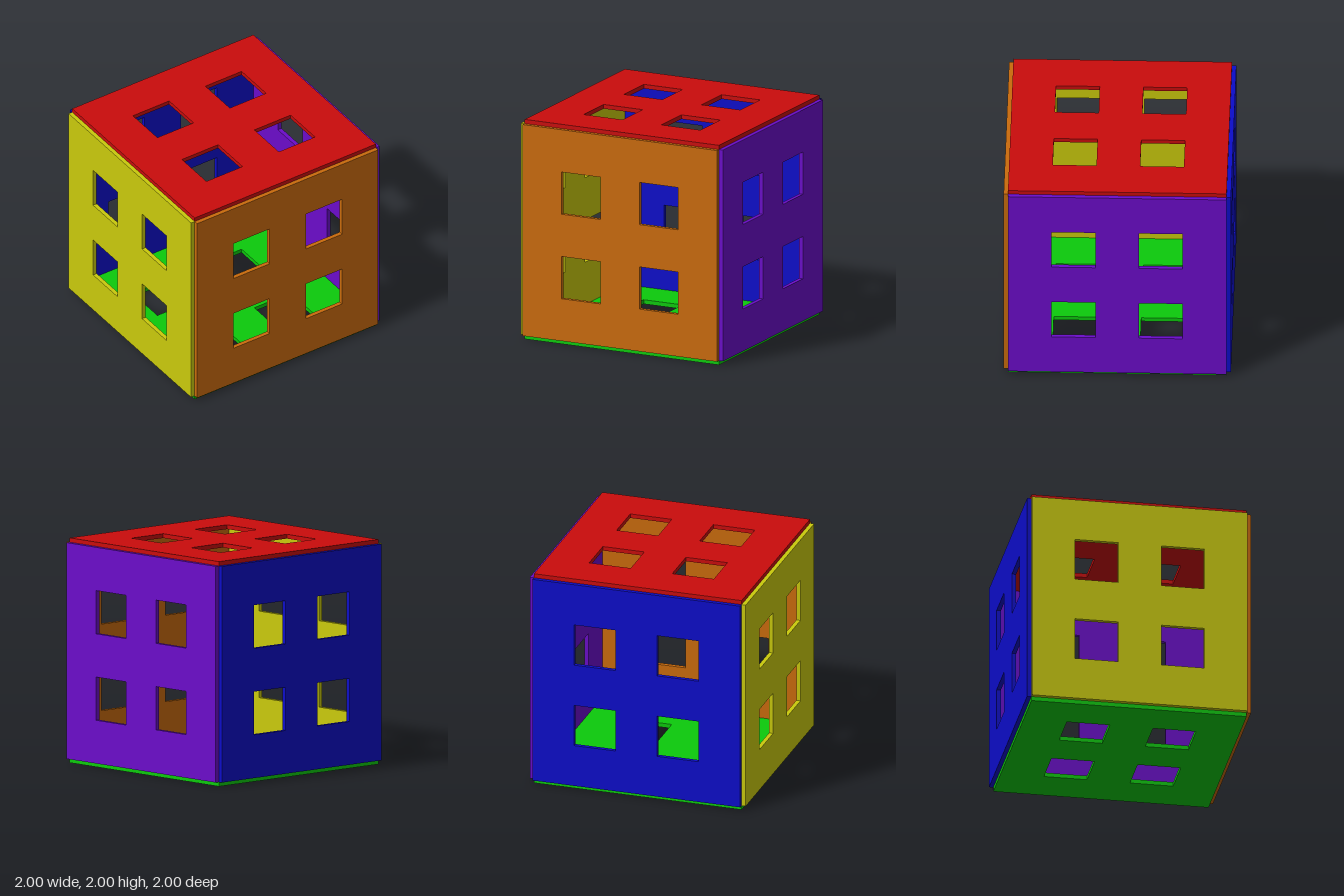
import * as THREE from 'three';

// The cube is laid out on a grid of 26 units from centre to outer face.
const U = 1 / 26;
const HALF = 25 * U;      // half width of a panel, and distance to its inner face
const HOLE_NEAR = 5 * U;  // hole edges, measured from the panel centre
const HOLE_FAR = 15 * U;

function rectangle(path, x0, y0, x1, y1) {
  path.moveTo(x0, y0);
  path.lineTo(x1, y0);
  path.lineTo(x1, y1);
  path.lineTo(x0, y1);
  path.closePath();
  return path;
}

// Square plate with four square holes, facing +z
function panelGeometry() {
  const shape = rectangle(new THREE.Shape(), -HALF, -HALF, HALF, HALF);
  const spans = [[-HOLE_FAR, -HOLE_NEAR], [HOLE_NEAR, HOLE_FAR]];
  for (const [x0, x1] of spans) {
    for (const [y0, y1] of spans) {
      shape.holes.push(rectangle(new THREE.Path(), x0, y0, x1, y1));
    }
  }
  const geometry = new THREE.ExtrudeGeometry(shape, { depth: U, bevelEnabled: false });
  return geometry.translate(0, 0, HALF);
}

export function createModel() {
  const model = new THREE.Group();
  model.name = 'perforatedCube';
  const geometry = panelGeometry();
  const q = Math.PI / 2;

  // name, colour name, colour, rotation about x, rotation about y
  const panels = [
    ['frontPanel', 'orange', 0xca6b0c, 0, 0],
    ['backPanel', 'blue', 0x0c0cca, 0, 2 * q],
    ['leftPanel', 'purple', 0x6b0cca, 0, q],
    ['rightPanel', 'yellow', 0xcaca0c, 0, -q],
    ['topPanel', 'red', 0xca0c0c, -q, 0],
    ['bottomPanel', 'green', 0x0cca0c, q, 0],
  ];

  for (const [name, colourName, color, rx, ry] of panels) {
    const material = new THREE.MeshStandardMaterial({ color });
    material.name = colourName;
    const panel = new THREE.Mesh(geometry, material);
    panel.name = name;
    panel.rotation.set(rx, ry, 0);
    panel.position.y = 1;
    model.add(panel);
  }
  return model;
}
